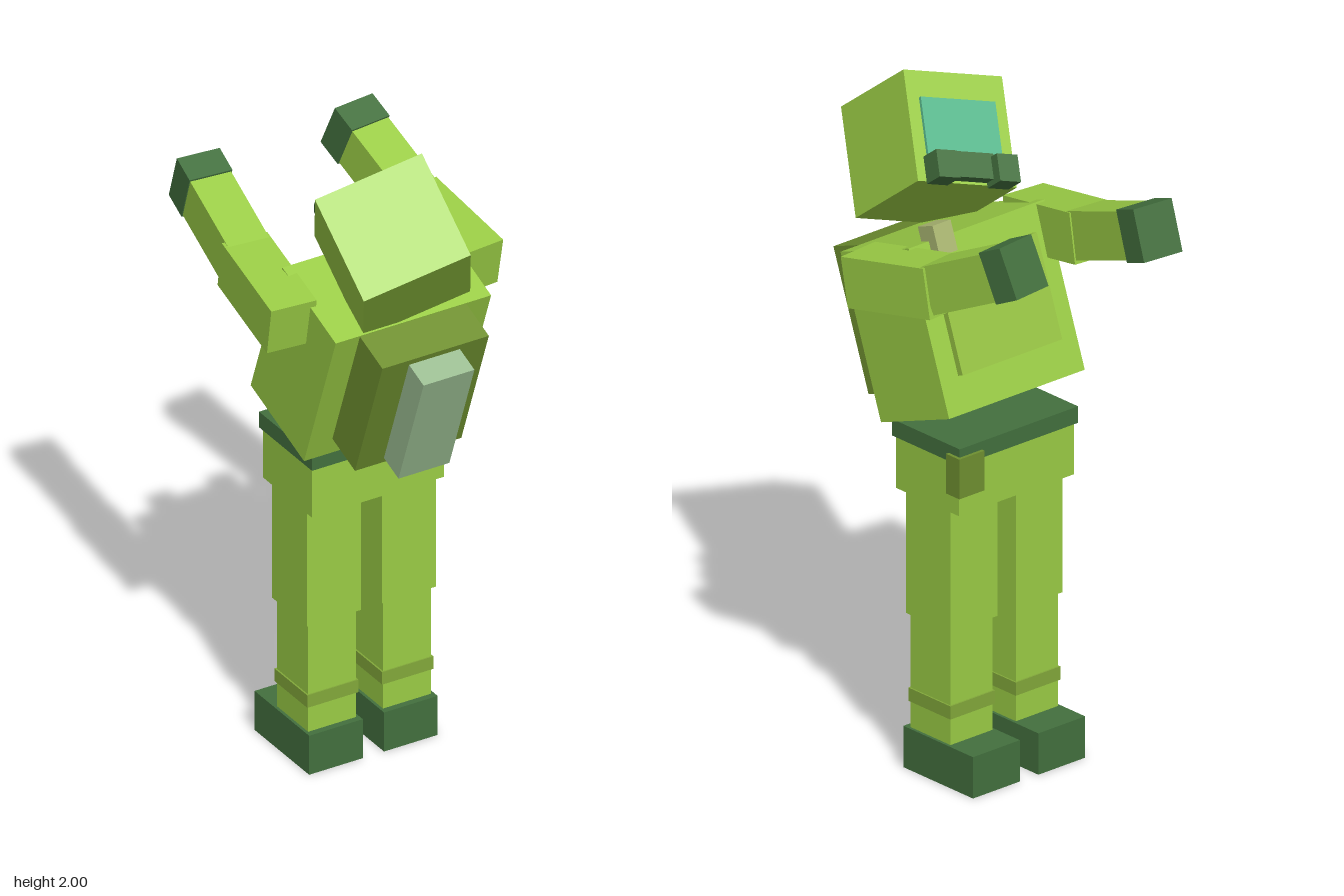
import * as THREE from 'three';

const paint = (name, color) => {
  const m = new THREE.MeshStandardMaterial({ color });
  m.name = name;
  return m;
};

export function createModel() {
  const suit = paint('suitGreen', 0x9acc45);
  const plate = paint('plateGreen', 0x97c443);
  const band = paint('bandOlive', 0x82a83a);
  const olive = paint('packOlive', 0x6f9030);
  const dark = paint('darkGreen', 0x43703e);
  const teal = paint('visorTeal', 0x57b88c);
  const pale = paint('paleGreyGreen', 0x9bbd92);
  const khaki = paint('radioKhaki', 0xaab672);

  const model = new THREE.Group();
  model.name = 'suitedFigure';

  const group = (name, parent = model) => {
    const g = new THREE.Group();
    g.name = name;
    parent.add(g);
    return g;
  };
  // Box given by its [min, max] range on each axis
  const box = (parent, name, mat, [x0, x1], [y0, y1], [z0, z1]) => {
    const mesh = new THREE.Mesh(new THREE.BoxGeometry(x1 - x0, y1 - y0, z1 - z0), mat);
    mesh.position.set((x0 + x1) / 2, (y0 + y1) / 2, (z0 + z1) / 2);
    mesh.name = name;
    parent.add(mesh);
    return mesh;
  };

  // Legs
  for (const [side, x] of [['left', 0.12], ['right', -0.123]]) {
    const leg = group(side + 'Leg');
    leg.position.x = x;
    box(leg, 'thigh', suit, [-0.087, 0.087], [0.47, 0.84], [-0.125, 0.06]);
    box(leg, 'shin', suit, [-0.078, 0.078], [0.12, 0.47], [-0.115, 0.05]);
    box(leg, 'shinBand', band, [-0.083, 0.083], [0.205, 0.245], [-0.12, 0.054]);
    box(leg, 'boot', dark, [-0.087, 0.087], [0, 0.125], [-0.218, 0.07]);
  }

  // Hips
  box(model, 'pelvis', suit, [-0.216, 0.212], [0.838, 1.0], [-0.165, 0.095]);
  box(model, 'belt', dark, [-0.222, 0.218], [0.995, 1.045], [-0.175, 0.105]);
  box(model, 'beltPouch', olive, [0.135, 0.228], [0.9, 1.02], [-0.185, -0.13]);

  // Torso leaning back, with everything strapped to it
  const torso = group('torso');
  torso.position.set(-0.002, 1.3225, 0.0575);
  torso.rotation.x = THREE.MathUtils.degToRad(20);
  box(torso, 'chest', suit, [-0.252, 0.252], [-0.245, 0.245], [-0.15, 0.15]);
  box(torso, 'chestPlate', plate, [-0.184, 0.186], [-0.139, 0.168], [-0.17, -0.15]);
  box(torso, 'chestBadge', pale, [-0.153, -0.052], [0.05, 0.117], [-0.182, -0.17]);
  box(torso, 'shoulderRadio', khaki, [0.11, 0.177], [0.2, 0.288], [-0.182, -0.117]);
  box(torso, 'backpack', olive, [-0.173, 0.172], [-0.183, 0.242], [0.15, 0.277]);
  box(torso, 'airTank', pale, [-0.083, 0.082], [-0.165, 0.223], [0.277, 0.359]);

  // Arms reaching forward; each segment runs along its own -z
  const segment = (parent, start, yaw, pitch) => {
    const g = group('armSegment', parent);
    g.position.set(...start);
    g.rotation.set(THREE.MathUtils.degToRad(pitch), THREE.MathUtils.degToRad(yaw), 0, 'YXZ');
    return g;
  };
  for (const [side, s, yaw, pitch] of [['left', 1, 6.5, 25], ['right', -1, 5.5, 19.5]]) {
    const arm = group(side + 'Arm');
    const upper = segment(arm, [s * 0.291, 1.525, -0.02], s * 5.3, 10.4);
    box(upper, 'upperArm', suit, [-0.07, 0.07], [-0.075, 0.075], [-0.157, 0.157]);
    const lower = segment(arm, [s * 0.275, 1.56, -0.17], s * yaw, pitch);
    box(lower, 'forearm', suit, [-0.063, 0.063], [-0.07, 0.07], [-0.26, 0.01]);
    box(lower, 'glove', dark, [-0.066, 0.066], [-0.076, 0.076], [-0.33, -0.245]);
  }

  // Head thrown back and turned
  const head = group('head');
  const forward = new THREE.Vector3(0, 0.608, -0.794).normalize();
  const across = new THREE.Vector3(0.939, 0.275, 0.208).normalize();
  const up = new THREE.Vector3().crossVectors(across, forward).normalize();
  across.crossVectors(forward, up);
  head.quaternion.setFromRotationMatrix(
    new THREE.Matrix4().makeBasis(across, up, forward.clone().negate()));
  head.position.set(-0.051, 1.7385, 0.252);
  const h = 0.1625;
  box(head, 'helmet', suit, [-h, h], [-h, h], [-h, h]);
  box(head, 'visor', teal, [-0.123, 0.123], [-0.083, 0.083], [-0.172, -h]);
  box(head, 'mask', dark, [-0.075, 0.075], [-0.155, -0.08], [-0.198, -h]);
  for (const s of [-1, 1]) {
    const name = s > 0 ? 'leftFilter' : 'rightFilter';
    box(head, name, dark, [s * 0.1 - 0.034, s * 0.1 + 0.034], [-0.17, -0.09], [-0.229, -h]);
  }

  return model;
}
